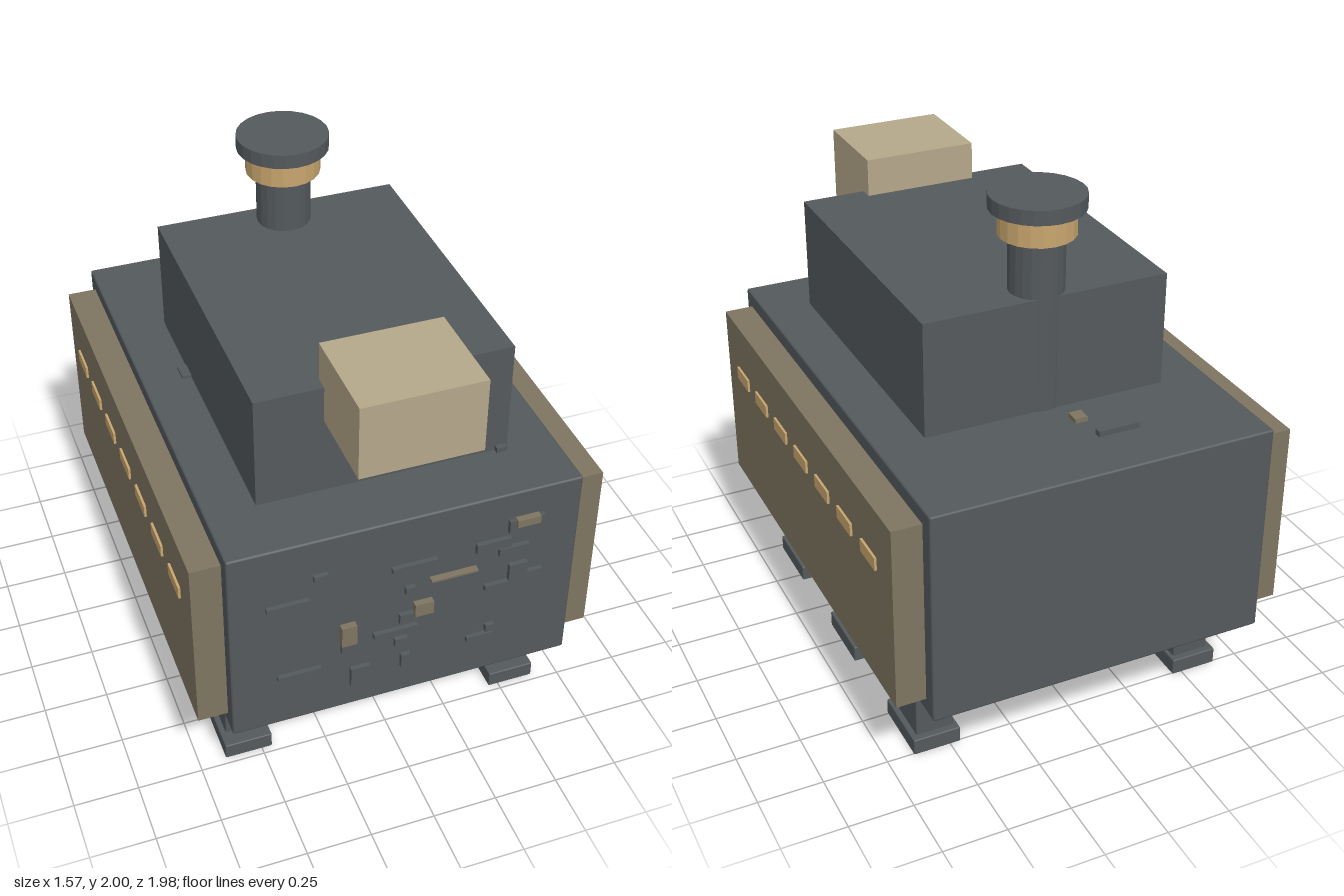
import * as THREE from 'three';
import { RoundedBoxGeometry } from 'three/addons/geometries/RoundedBoxGeometry.js';

export function createModel() {
  const model = new THREE.Group();
  const slate = new THREE.MeshStandardMaterial({ color: 0x54595c });
  slate.name = 'slate';
  const olive = new THREE.MeshStandardMaterial({ color: 0x7e7560 });
  olive.name = 'olive';
  const sand = new THREE.MeshStandardMaterial({ color: 0xb5a88a });
  sand.name = 'sand';
  const amber = new THREE.MeshStandardMaterial({ color: 0xc8a56e });
  amber.name = 'amber';

  function add(name, geometry, material, x, y, z) {
    const mesh = new THREE.Mesh(geometry, material);
    mesh.name = name;
    mesh.position.set(x, y, z);
    model.add(mesh);
  }

  // Box from its min and max on each axis; bevel softens the edges
  function box(name, material, [x0, x1], [y0, y1], [z0, z1], bevel = 0) {
    const size = [x1 - x0, y1 - y0, z1 - z0];
    const geometry = bevel
      ? new RoundedBoxGeometry(...size, 1, bevel)
      : new THREE.BoxGeometry(...size);
    add(name, geometry, material, (x0 + x1) / 2, (y0 + y1) / 2, (z0 + z1) / 2);
  }

  // Faceted upright cylinder on the chimney axis
  function drum(name, material, radius, y0, y1, sides) {
    const geometry = new THREE.CylinderGeometry(radius, radius, y1 - y0, sides).toNonIndexed();
    geometry.computeVertexNormals();
    add(name, geometry, material, 0, (y0 + y1) / 2, -0.42);
  }

  // Hull, upper housing and front box
  box('hull', slate, [-0.664, 0.664], [0.34, 1.19], [-0.988, 0.91], 0.008);
  box('upperHousing', slate, [-0.477, 0.477], [1.18, 1.636], [-0.515, 0.664]);
  box('frontBox', sand, [-0.225, 0.225], [1.495, 1.785], [0.61, 0.99]);

  // Chimney
  drum('chimneyPipe', slate, 0.104, 1.185, 1.86, 20);
  drum('chimneyBand', amber, 0.142, 1.848, 1.945, 20);
  drum('chimneyCap', slate, 0.175, 1.945, 2.0, 24);

  // Side armour with a row of windows, and three legs per side
  for (const side of [-1, 1]) {
    const span = (a, b) => (side > 0 ? [a, b] : [-b, -a]);
    box('sidePanel', olive, span(0.655, 0.777), [0.4, 1.132], [-0.928, 0.853]);
    for (let i = 0; i < 7; i++) {
      const z = 0.65 - i * 0.2287;
      box('sideWindow', amber, span(0.77, 0.786), [0.892, 0.943], [z - 0.067, z + 0.067]);
    }
    for (const z of [0.572, -0.037, -0.645]) {
      box('leg', slate, span(0.475, 0.624), [0.05, 0.35], [z - 0.085, z + 0.085], 0.005);
      box('foot', slate, span(0.459, 0.646), [0, 0.066], [z - 0.113, z + 0.152], 0.005);
    }
  }

  // Front surface details: left, right, bottom, top
  const darkPlates = [
    [-0.355, -0.302, 1.013, 1.04], [-0.529, -0.37, 0.923, 0.939],
    [-0.063, 0.108, 0.963, 0.984], [-0.01, 0.029, 0.846, 0.875],
    [0.259, 0.392, 0.955, 0.997], [0.349, 0.466, 0.918, 0.95],
    [0.381, 0.519, 1.019, 1.072], [0.394, 0.466, 0.78, 0.859],
    [0.466, 0.529, 0.785, 0.809], [0.302, 0.513, 0.761, 0.785],
    [-0.251, -0.188, 0.631, 0.679], [-0.029, 0.042, 0.706, 0.748],
    [-0.127, 0.042, 0.66, 0.682], [-0.045, 0.003, 0.594, 0.631],
    [-0.492, -0.328, 0.57, 0.589], [-0.214, -0.138, 0.448, 0.536],
    [-0.018, 0.018, 0.48, 0.541], [0.243, 0.347, 0.52, 0.541],
    [0.317, 0.352, 0.549, 0.581],
  ];
  for (const [x0, x1, y0, y1] of darkPlates) {
    box('frontPlate', slate, [x0, x1], [y0, y1], [0.9, 0.928]);
  }
  const olivePlates = [
    [0.085, 0.265, 0.882, 0.89], [0.407, 0.497, 1.045, 1.077],
    [-0.254, -0.196, 0.674, 0.764], [0.026, 0.098, 0.732, 0.788],
  ];
  for (const [x0, x1, y0, y1] of olivePlates) {
    box('frontOlivePlate', olive, [x0, x1], [y0, y1], [0.9, 0.936]);
  }

  // Deck details
  box('deckPlate', slate, [-0.241, -0.079], [1.18, 1.212], [-0.77, -0.743]);
  box('deckPlate', slate, [-0.513, -0.46], [1.18, 1.2], [-0.199, -0.128]);
  box('deckPlate', slate, [0.429, 0.469], [1.18, 1.21], [0.64, 0.685]);
  box('deckOlivePlate', olive, [-0.097, -0.047], [1.18, 1.208], [-0.652, -0.597]);

  return model;
}
